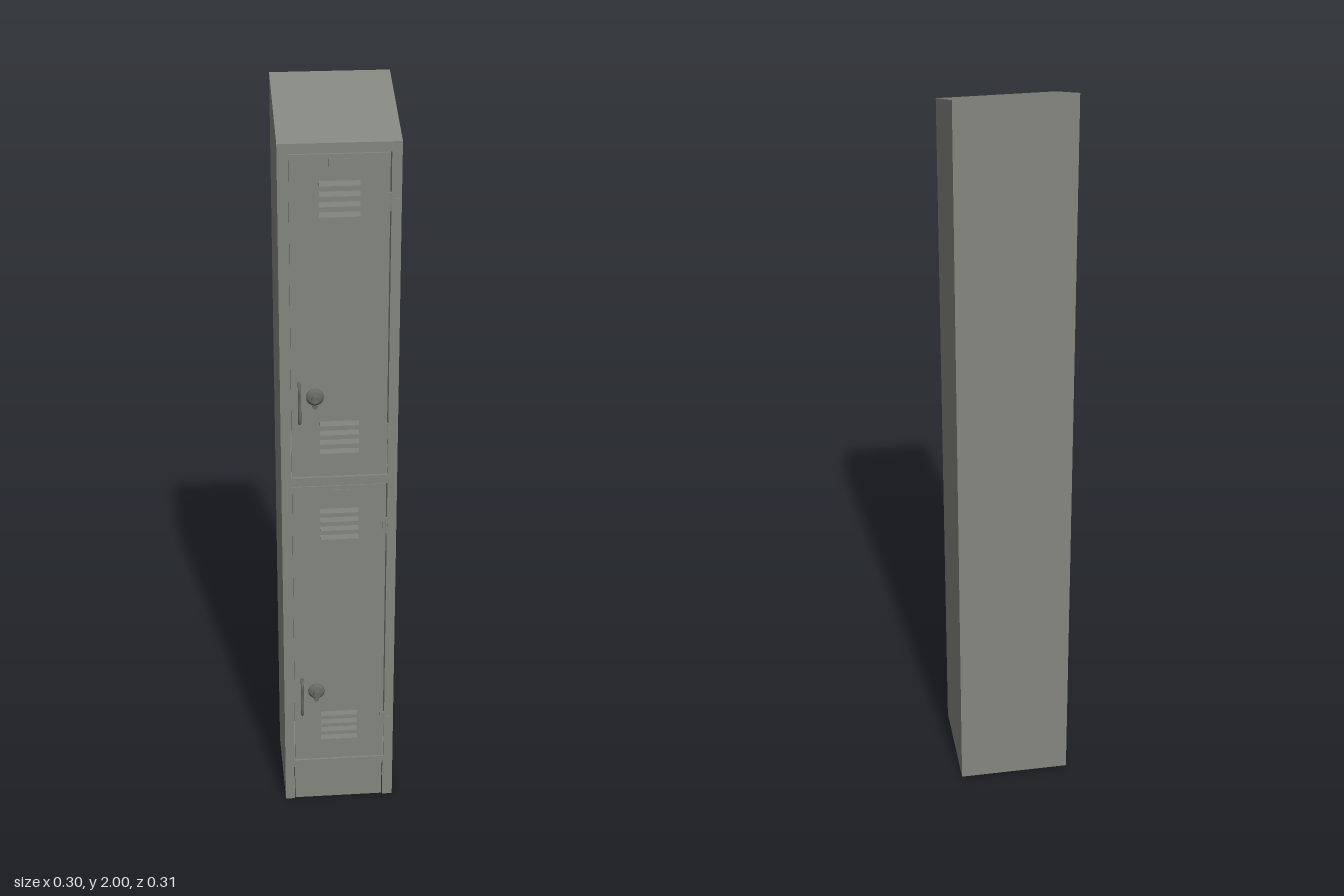
import * as THREE from 'three';

const W = 0.15, FRONT = 0.132, BACK = -0.155, T = 0.004;
const paint = new THREE.MeshStandardMaterial({ color: 0x83867e });
paint.name = 'grey paint';
const metal = new THREE.MeshStandardMaterial({ color: 0x666863 });
metal.name = 'dark metal';

function add(parent, name, geometry, material = paint, x = 0, y = 0, z = 0) {
  const mesh = new THREE.Mesh(geometry, material);
  mesh.name = name;
  mesh.position.set(x, y, z);
  parent.add(mesh);
  return mesh;
}

// Box given by its lower and upper limits
function block(parent, name, x0, x1, y0, y1, z0, z1, material = paint) {
  return add(parent, name, new THREE.BoxGeometry(x1 - x0, y1 - y0, z1 - z0), material,
    (x0 + x1) / 2, (y0 + y1) / 2, (z0 + z1) / 2);
}

// Extrude a (z, y) profile across x, centred on x = 0
function across(points, width) {
  const shape = new THREE.Shape(points.map(([z, y]) => new THREE.Vector2(z, y)));
  return new THREE.ExtrudeGeometry(shape, { depth: width, bevelEnabled: false })
    .translate(0, 0, -width / 2).rotateY(-Math.PI / 2);
}

function rectHole(x0, x1, y0, y1) {
  return new THREE.Path([[x0, y0], [x0, y1], [x1, y1], [x1, y0]].map(p => new THREE.Vector2(...p)));
}

function createDoor(bottom) {
  const door = new THREE.Group();
  door.name = 'door';
  const top = bottom + 0.863, face = 0.130;
  block(door, 'doorPanel', -0.122, 0.122, bottom + 0.003, top - 0.003, 0.12, face);

  // Vent louvers near the top and the bottom
  for (const start of [bottom + 0.075, bottom + 0.71])
    for (let i = 0; i < 4; i++)
      add(door, 'louver', across([[0, -0.006], [0.004, -0.006], [0, 0.006]], 0.1), paint, 0, start + i * 0.026, face);

  // Number plate holder
  block(door, 'numberPlate', -0.026, 0.026, top - 0.034, top - 0.014, face, face + 0.002);

  // Hinges: leaf and knuckle
  for (const y of [bottom + 0.125, bottom + 0.738]) {
    block(door, 'hingeLeaf', 0.113, 0.122, y - 0.024, y + 0.024, face, face + 0.002);
    add(door, 'hingeKnuckle', new THREE.CylinderGeometry(0.003, 0.003, 0.046, 10), paint, 0.124, y, face);
    block(door, 'hingeTab', 0.126, 0.144, y - 0.009, y + 0.009, FRONT, FRONT + 0.001);
  }

  // Pull handle
  const path = new THREE.CatmullRomCurve3([
    [0.161, 0], [0.163, 0.015], [0.178, 0.020], [0.225, 0.018], [0.257, 0.020], [0.268, 0.012], [0.269, 0],
  ].map(([y, z]) => new THREE.Vector3(-0.102, bottom + y, face + z)));
  add(door, 'handle', new THREE.TubeGeometry(path, 28, 0.004, 8), metal);

  // Lock: dished base, knob and key tag
  const profile = [[0.023, 0], [0.023, 0.003], [0.017, 0.009], [0.009, 0.011], [0.009, 0.023], [0, 0.023]]
    .map(p => new THREE.Vector2(...p));
  const lockY = bottom + 0.229;
  const lathe = new THREE.LatheGeometry(profile, 24).toNonIndexed();
  lathe.computeVertexNormals();
  add(door, 'lock', lathe.rotateX(Math.PI / 2), metal, -0.062, lockY, face);
  block(door, 'lockGrip', -0.065, -0.059, lockY - 0.008, lockY + 0.008, face + 0.022, face + 0.0245, metal);
  const keyhole = add(door, 'keyhole', new THREE.CylinderGeometry(0.007, 0.007, 0.004, 16), metal,
    -0.062, lockY - 0.027, face + 0.002);
  keyhole.rotation.x = Math.PI / 2;
  return door;
}

export function createModel() {
  const locker = new THREE.Group();
  locker.name = 'locker';

  // Side walls with a sloping top edge
  const side = [[BACK, 0], [FRONT, 0], [FRONT, 1.905], [BACK, 2]];
  for (const s of [-1, 1]) add(locker, 'sideWall', across(side, T), paint, s * (W - T / 2));

  // Back, sloping roof, shelves
  const w = W - T;
  block(locker, 'backWall', -w, w, 0, 1.99, BACK, BACK + T);
  add(locker, 'roof', across([[BACK, 1.99], [FRONT, 1.895], [FRONT, 1.905], [BACK, 2]], 2 * w));
  block(locker, 'floor', -w, w, 0.118, 0.122, BACK + T, 0.12);
  block(locker, 'middleShelf', -w, w, 1.004, 1.008, BACK + T, 0.12);

  // Front frame, open around both doors and the kick plate
  const frame = new THREE.Shape([
    [-w, 0], [-0.125, 0], [-0.125, 0.117], [0.122, 0.117], [0.122, 0], [w, 0], [w, 1.895], [-w, 1.895],
  ].map(p => new THREE.Vector2(...p)));
  const doorBottoms = [0.13, 1.017];
  for (const y of doorBottoms) frame.holes.push(rectHole(-0.125, 0.125, y, y + 0.863));
  add(locker, 'frontFrame', new THREE.ExtrudeGeometry(frame, { depth: 0.01, bevelEnabled: false }), paint, 0, 0, FRONT - 0.01);

  // Recessed kick plate with a stiffening lip and corner posts behind it
  block(locker, 'kickPlate', -0.123, 0.12, 0, 0.115, 0.122, 0.128);
  block(locker, 'kickLip', -w, w, 0.1, 0.118, 0.1, 0.122);
  for (const s of [-1, 1]) block(locker, 'cornerPost', s * 0.135 - 0.011, s * 0.135 + 0.011, 0, 0.118, 0.112, 0.122);

  for (const y of doorBottoms) locker.add(createDoor(y));
  return locker;
}
